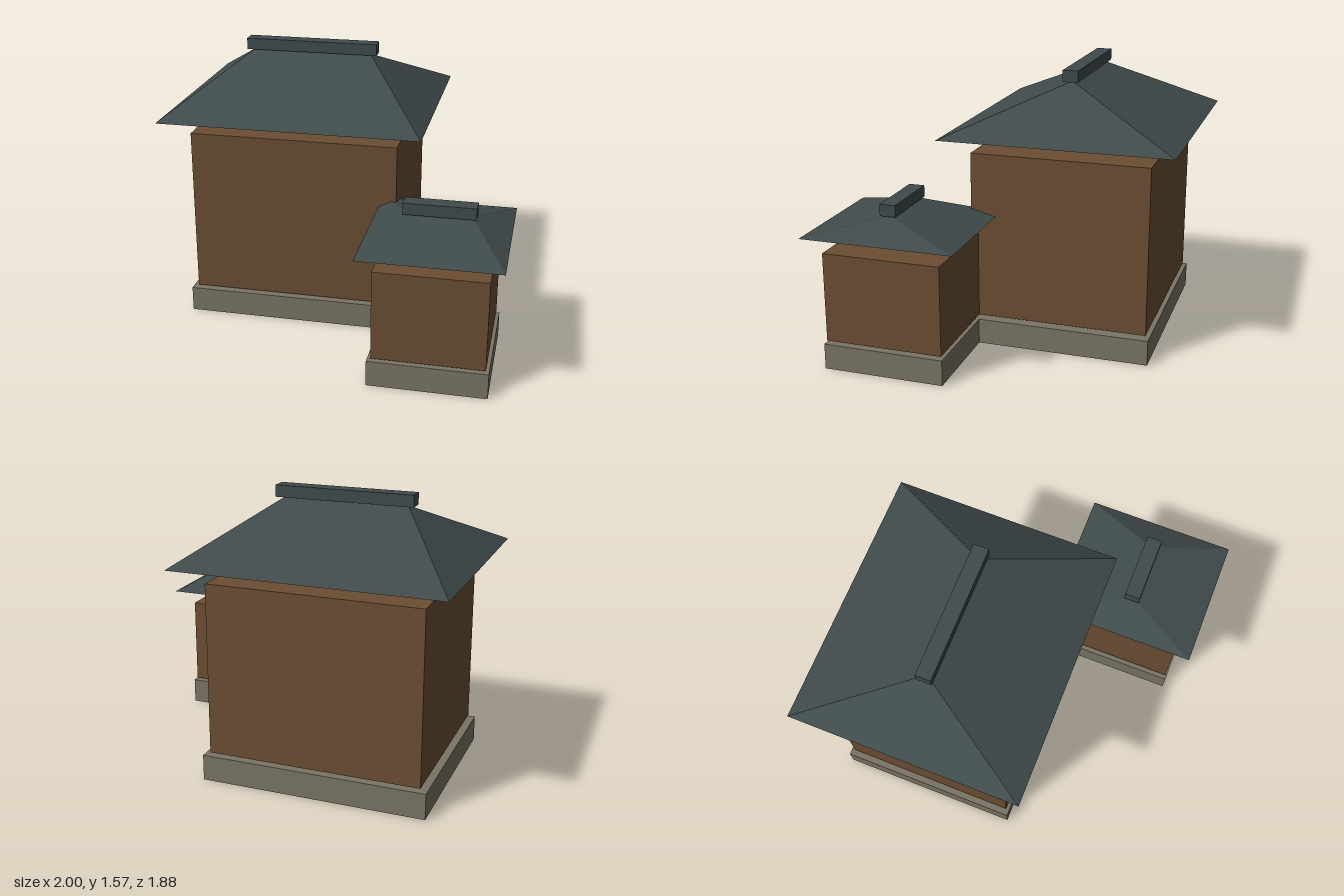
import * as THREE from 'three';

const timber = new THREE.MeshStandardMaterial({ color: 0x6b4e33 });
timber.name = 'timber brown';
const stone = new THREE.MeshStandardMaterial({ color: 0x7a7465, side: THREE.DoubleSide });
stone.name = 'stone grey';
const tile = new THREE.MeshStandardMaterial({ color: 0x404b4c, side: THREE.DoubleSide });
tile.name = 'slate roof';

function add(group, name, geometry, material) {
  const mesh = new THREE.Mesh(geometry, material);
  mesh.name = name;
  group.add(mesh);
  return mesh;
}

// box given by its [min, max] extents on each axis
function boxGeometry([x0, x1], [y0, y1], [z0, z1]) {
  return new THREE.BoxGeometry(x1 - x0, y1 - y0, z1 - z0)
    .translate((x0 + x1) / 2, (y0 + y1) / 2, (z0 + z1) / 2);
}

// hollow plinth: a box without its bottom face
function openBox(x, y, z) {
  const g = boxGeometry(x, y, z);
  const index = Array.from(g.index.array);
  index.splice(18, 6);
  g.setIndex(index);
  return g;
}

// four-sided hip roof shell, open underneath
function hipRoof([x0, x1], [y0, y1], [z0, z1], [r0, r1]) {
  const zm = (z0 + z1) / 2;
  const a = [x0, y0, z1], b = [x1, y0, z1], c = [x1, y0, z0], d = [x0, y0, z0];
  const l = [r0, y1, zm], r = [r1, y1, zm];
  const faces = [a, b, r, a, r, l, c, d, l, c, l, r, b, c, r, d, a, l];
  const g = new THREE.BufferGeometry();
  g.setAttribute('position', new THREE.Float32BufferAttribute(faces.flat(), 3));
  g.computeVertexNormals();
  return g;
}

function building(name, s) {
  const group = new THREE.Group();
  group.name = name;
  add(group, 'plinth', openBox(s.base[0], [0, 0.145], s.base[1]), stone);
  add(group, 'walls', boxGeometry(s.wall[0], [0.16, s.wallTop], s.wall[1]), timber);
  add(group, 'roof', hipRoof(s.roof[0], s.roofY, s.roof[1], s.ridgeLine), tile);
  add(group, 'ridgeCap', boxGeometry(s.cap[0], [s.roofY[1], s.roofY[1] + 0.065], s.cap[1]), tile);
  return group;
}

export function createModel() {
  const model = new THREE.Group();
  model.name = 'twoHalls';

  model.add(building('mainHall', {
    base: [[-0.885, 0.371], [-0.81, 0.24]],
    wall: [[-0.85, 0.336], [-0.79, 0.22]],
    wallTop: 1.115,
    roof: [[-1, 0.486], [-0.94, 0.365]],
    roofY: [1.21, 1.5],
    ridgeLine: [-0.6, 0.086],
    cap: [[-0.642, 0.13], [-0.331, -0.244]],
  }));

  const annex = building('annex', {
    base: [[0.293, 0.937], [0.17, 0.855]],
    wall: [[0.315, 0.92], [0.18, 0.845]],
    wallTop: 0.663,
    roof: [[0.237, 0.995], [0.077, 0.937]],
    roofY: [0.76, 0.868],
    ridgeLine: [0.445, 0.787],
    cap: [[0.422, 0.812], [0.463, 0.551]],
  });
  model.add(annex);

  // short posts carrying the annex floor
  for (const x of [0.458, 0.67])
    for (const z of [0.27, 0.645])
      add(annex, 'post', boxGeometry([x - 0.025, x + 0.025], [0.085, 0.165], [z - 0.025, z + 0.025]), timber);

  return model;
}
